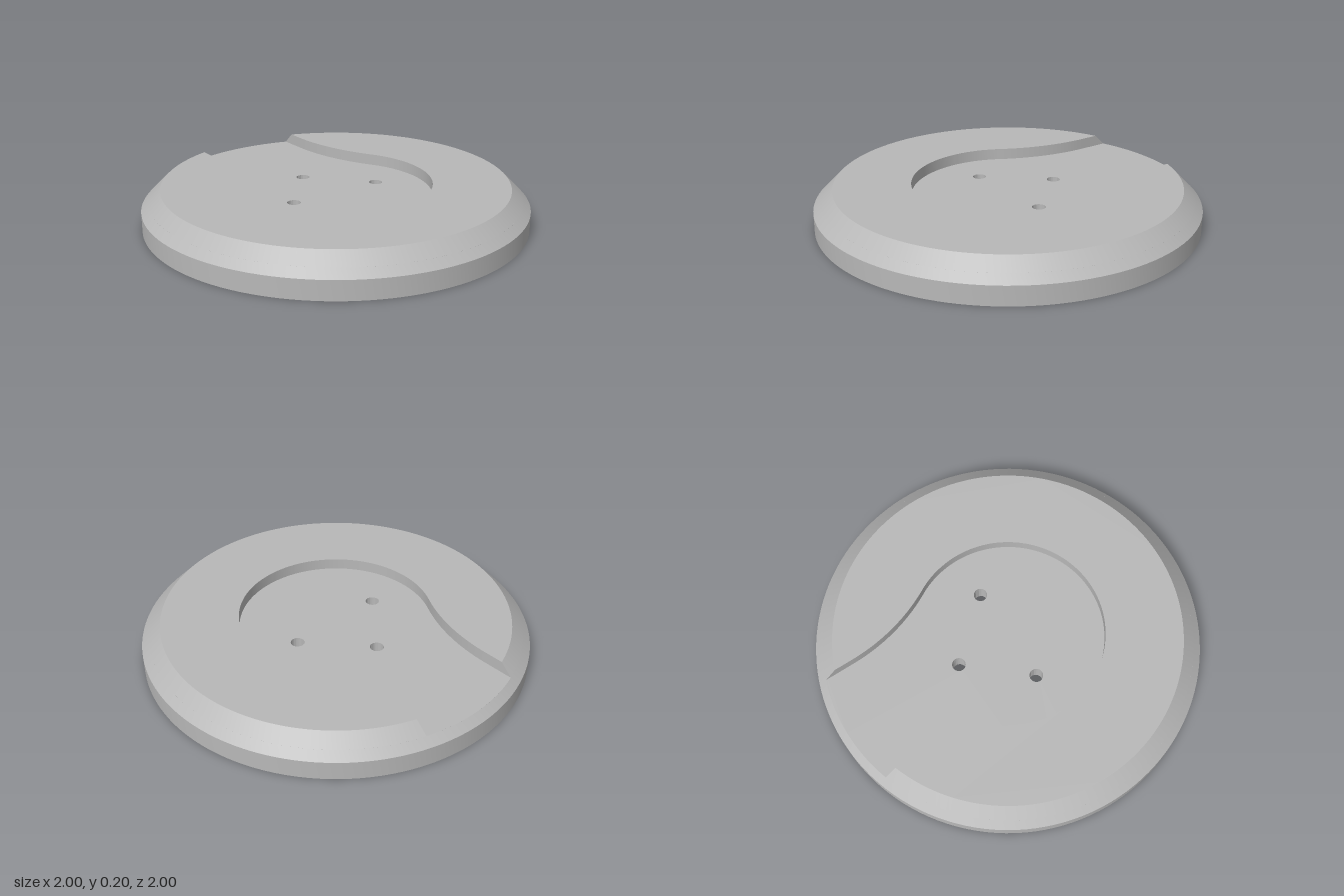
import * as THREE from 'three';
import { toCreasedNormals } from 'three/addons/utils/BufferGeometryUtils.js';

const PI = Math.PI;
const HOLES = [[0, 0.3], [-0.265, 0], [0.265, 0]]; // x and -z
const FOOT = 0.04, FLOOR = 0.14, TOP = 0.2;

export function createModel() {
  const group = new THREE.Group();
  const grey = new THREE.MeshStandardMaterial({ color: 0xb8b8b8 });
  grey.name = 'grey';

  const add = (name, geometry, y = 0) => {
    const mesh = new THREE.Mesh(toCreasedNormals(geometry, 0.5), grey);
    mesh.name = name;
    mesh.position.y = y;
    group.add(mesh);
    return mesh;
  };
  const extrude = (shape, depth, curveSegments) =>
    new THREE.ExtrudeGeometry(shape, { depth, curveSegments, bevelEnabled: false });
  const lay = (geometry) => geometry.rotateX(-PI / 2);
  const lathe = (points, segments) =>
    new THREE.LatheGeometry(points.map(([r, y]) => new THREE.Vector2(r, y)), segments);
  const drill = (shape, r) => HOLES.forEach(([x, y]) =>
    shape.holes.push(new THREE.Path().absarc(x, y, r, 0, 2 * PI, true)));

  // Outer rim with its lower chamfer
  add('rim', lathe([[0.95, FOOT], [0.95, 0], [1, 0], [1, 0.1], [0.96, FLOOR]], 128));

  // Drilled plate forming the pocket floor and the recessed underside
  const plate = new THREE.Shape().absarc(0, 0, 0.96, 0, 2 * PI, false);
  drill(plate, 0.035);
  add('plate', lay(extrude(plate, FLOOR - FOOT, 128)), FOOT);

  // Round boss with a cross bar under the plate
  const a = Math.asin(0.2 / 0.95), b = Math.asin(0.2 / 0.5);
  const boss = new THREE.Shape();
  boss.absarc(0, 0, 0.95, -a, a, false);
  boss.absarc(0, 0, 0.5, b, PI - b, false);
  boss.absarc(0, 0, 0.95, PI - a, PI + a, false);
  boss.absarc(0, 0, 0.5, PI + b, 2 * PI - b, false);
  boss.closePath();
  drill(boss, 0.075);
  add('underBoss', lay(extrude(boss, FOOT, 48)));

  // Countersinks of the screw holes
  HOLES.forEach(([x, y]) => {
    const sink = add('countersink', lathe([[0.035, FOOT], [0.075, 0]], 48));
    sink.position.set(x, 0, -y);
  });

  // Raised top surrounding the keyhole-shaped pocket, open at the back
  const cx = 0.5 * Math.cos(PI / 6) + Math.cos(PI / 6);
  const neck = cx - 1;
  const start = Math.acos(neck / 0.96);
  const collar = new THREE.Shape();
  collar.absarc(0, 0, 0.96, start, PI - start, true);
  collar.absarc(-cx, 0.75, 1, 0, -PI / 6, true);
  collar.absarc(0, 0, 0.5, PI * 5 / 6, PI * 13 / 6, false);
  collar.absarc(cx, 0.75, 1, PI * 7 / 6, PI, true);
  collar.closePath();
  const collarGeo = extrude(collar, TOP - FLOOR, 112);

  // Pull the upper outer edge in to slope the chamfer
  const p = collarGeo.attributes.position;
  for (let i = 0; i < p.count; i++) {
    const x = p.getX(i), y = p.getY(i);
    if (p.getZ(i) < 0.03 || Math.hypot(x, y) < 0.955) continue;
    if (y > 0 && Math.abs(x) < neck + 0.001) p.setY(i, Math.sqrt(0.81 - x * x));
    else p.setXY(i, x * 0.9 / 0.96, y * 0.9 / 0.96);
  }
  add('raisedTop', lay(collarGeo), FLOOR);

  return group;
}
